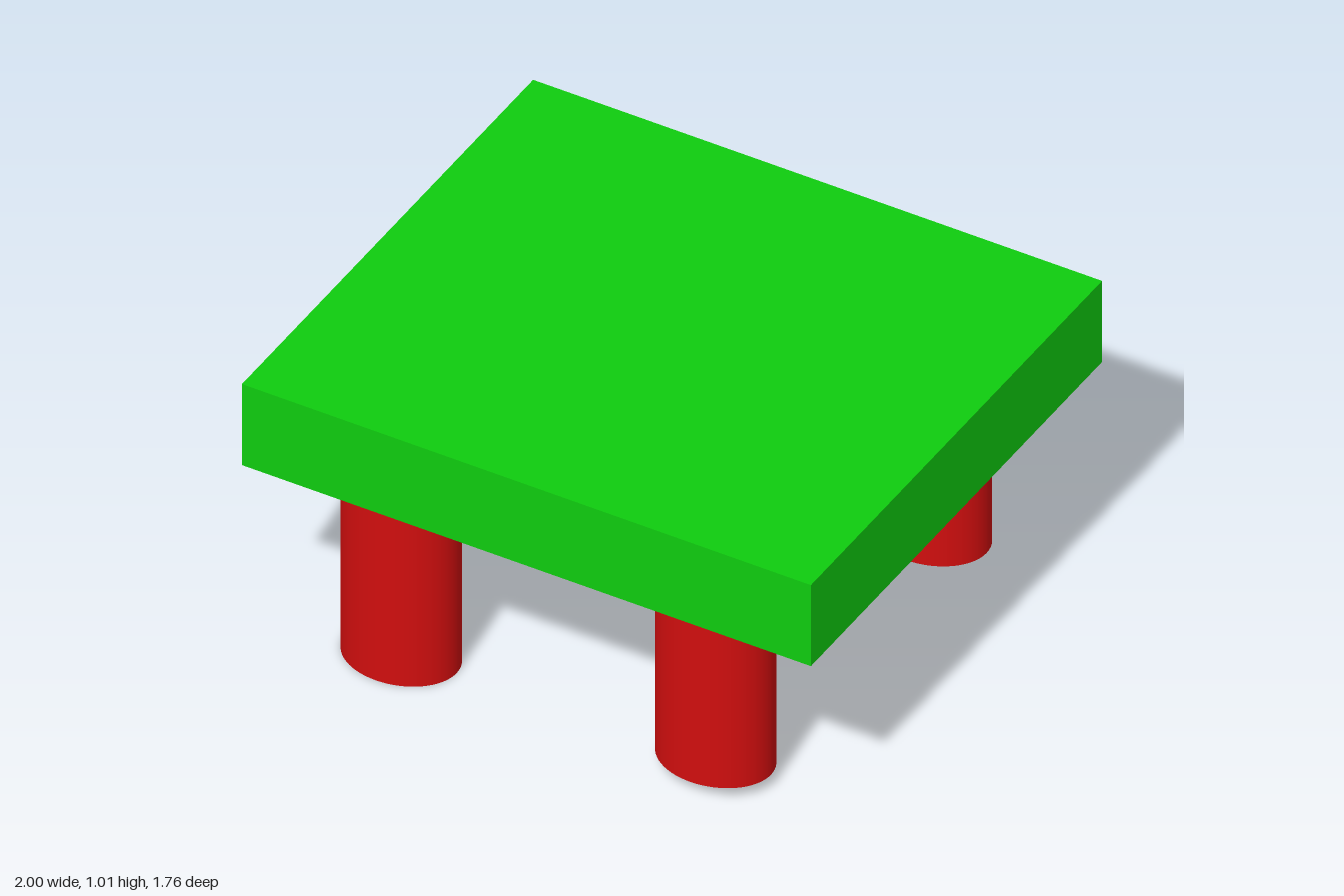
import * as THREE from 'three';

const TOP_Y = 1.01, UNDERSIDE_Y = 0.70;

export function createModel() {
  const group = new THREE.Group();
  const green = new THREE.MeshStandardMaterial({ color: 0x0fcc0f });
  const red = new THREE.MeshStandardMaterial({ color: 0xd00e0e });

  // Thick slab
  const top = new THREE.Mesh(new THREE.BoxGeometry(2, TOP_Y - UNDERSIDE_Y, 1.76), green);
  top.name = 'tableTop';
  top.position.y = (TOP_Y + UNDERSIDE_Y) / 2;
  group.add(top);

  // Oval legs, slightly uneven in placement and length
  const legGeometry = new THREE.CylinderGeometry(1, 1, 1, 64);
  const legs = [
    ['frontLeftLeg', 0.547, 0.676, 0.05],
    ['frontRightLeg', -0.567, 0.661, 0],
    ['backLeftLeg', 0.556, -0.612, 0.05],
    ['backRightLeg', -0.586, -0.618, 0],
  ];
  for (const [name, x, z, bottom] of legs) {
    const leg = new THREE.Mesh(legGeometry, red);
    leg.name = name;
    leg.scale.set(0.194, UNDERSIDE_Y - bottom, 0.154);
    leg.position.set(x, (UNDERSIDE_Y + bottom) / 2, z);
    group.add(leg);
  }
  return group;
}
